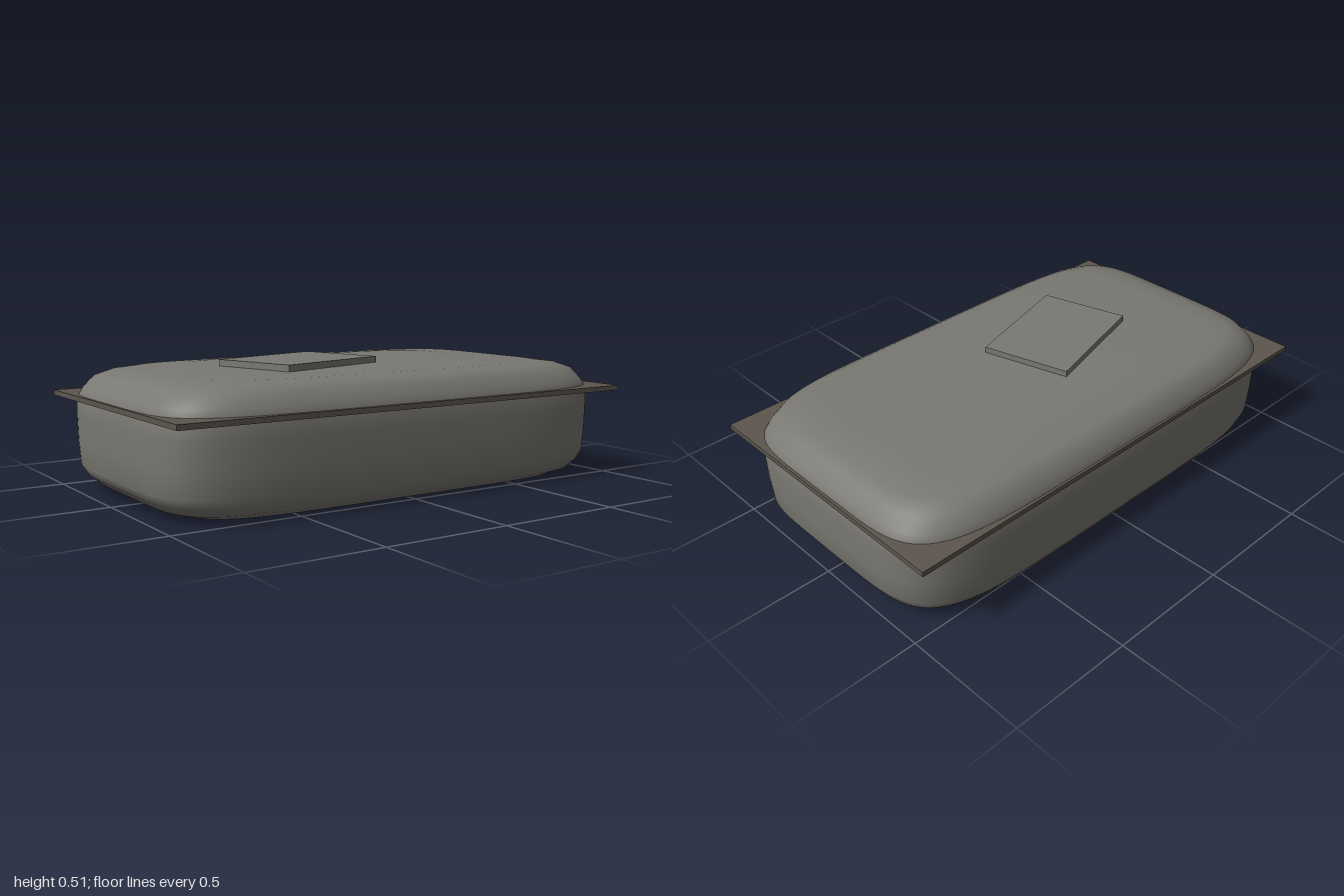
import * as THREE from 'three';

// Rounded rectangular shell lofted from rings of [x half-width, z half-depth, y], bottom to top
function loftShell(rings, segments, power) {
  const positions = [];
  const index = [];
  const soften = (v) => Math.sign(v) * Math.abs(v) ** (2 / power);
  for (const [rx, rz, y] of rings) {
    for (let j = 0; j < segments; j++) {
      const a = (j / segments) * Math.PI * 2;
      positions.push(rx * soften(Math.cos(a)), y, rz * soften(Math.sin(a)));
    }
  }
  for (let i = 0; i < rings.length - 1; i++) {
    for (let j = 0; j < segments; j++) {
      const k = (j + 1) % segments;
      const a = i * segments + j, b = i * segments + k;
      const c = a + segments, d = b + segments;
      index.push(a, c, b, b, c, d);
    }
  }
  // Close the top with a centre point
  const centre = positions.length / 3;
  const last = (rings.length - 1) * segments;
  positions.push(0, rings[rings.length - 1][2], 0);
  for (let j = 0; j < segments; j++) {
    index.push(last + j, centre, last + ((j + 1) % segments));
  }
  const geometry = new THREE.BufferGeometry();
  geometry.setAttribute('position', new THREE.Float32BufferAttribute(positions, 3));
  geometry.setIndex(index);
  geometry.computeVertexNormals();
  return geometry;
}

export function createModel() {
  const group = new THREE.Group();
  const shellGrey = new THREE.MeshStandardMaterial({ color: 0x7a7872, side: THREE.DoubleSide });
  shellGrey.name = 'shellGrey';
  const rimBrown = new THREE.MeshStandardMaterial({ color: 0x5c564e });
  rimBrown.name = 'rimBrown';

  const add = (name, geometry, material, x, y, z) => {
    const mesh = new THREE.Mesh(geometry, material);
    mesh.name = name;
    mesh.position.set(x, y, z);
    group.add(mesh);
    return mesh;
  };

  // Hollow body, open underneath, with a softly domed lid
  const rings = [
    [0.79, 0.44, 0.008],
    [0.87, 0.49, 0.018],
    [0.93, 0.525, 0.038],
    [0.965, 0.545, 0.068],
    [0.988, 0.557, 0.105],
    [0.995, 0.562, 0.2],
    [0.997, 0.564, 0.3],
    [0.995, 0.562, 0.37],
    [0.975, 0.548, 0.405],
    [0.935, 0.522, 0.45],
    [0.87, 0.485, 0.472],
    [0.78, 0.435, 0.483],
    [0.6, 0.34, 0.489],
    [0.3, 0.17, 0.491],
  ];
  add('body', loftShell(rings, 96, 5.5), shellGrey, 0, 0, -0.003);

  // Flat square-cornered rim between body and lid
  add('rim', new THREE.BoxGeometry(2, 0.02, 1.14), rimBrown, 0, 0.37, 0);

  // Tilted label plate on the lid
  const label = add('labelPlate', new THREE.BoxGeometry(0.505, 0.03, 0.367), shellGrey, -0.226, 0.5, 0.041);
  label.rotation.y = 0.278;

  return group;
}
